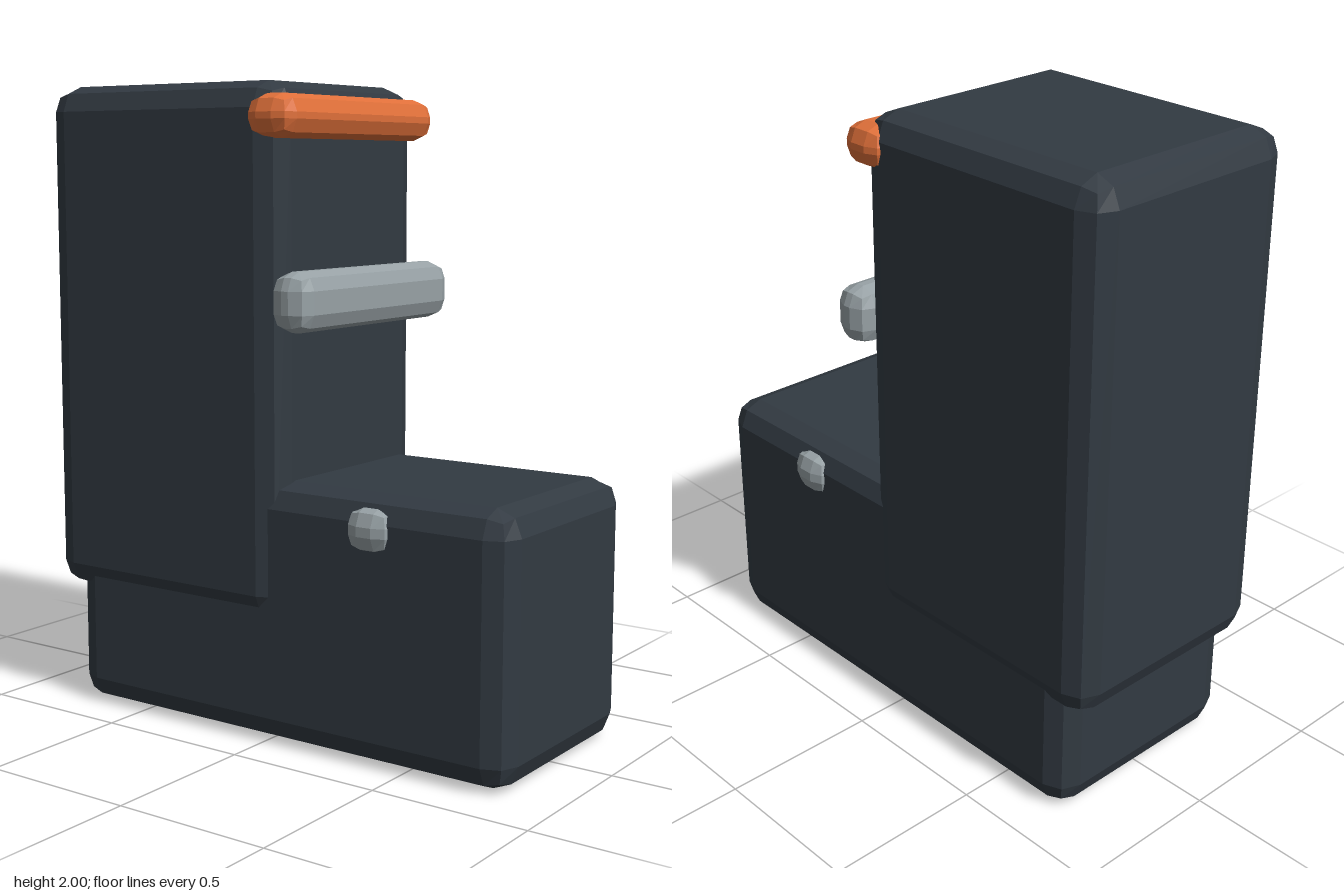
import * as THREE from 'three';
import { RoundedBoxGeometry } from 'three/addons/geometries/RoundedBoxGeometry.js';

const material = (color) => new THREE.MeshStandardMaterial({ color, flatShading: true });

export function createModel() {
  const boot = new THREE.Group();
  boot.name = 'boot';
  const dark = material(0x323a42);
  const orange = material(0xe0703a);
  const metal = material(0x98a2a6);

  // Low-poly bevelled block given by its half width and its y and z ranges
  const block = (name, mat, halfX, [y0, y1], [z0, z1], bevel) => {
    const geometry = new RoundedBoxGeometry(halfX * 2, y1 - y0, z1 - z0, 1, bevel);
    const mesh = new THREE.Mesh(geometry, mat);
    mesh.name = name;
    mesh.position.set(0, (y0 + y1) / 2, (z0 + z1) / 2);
    boot.add(mesh);
  };

  // Foot and upright shaft
  block('foot', dark, 0.365, [0, 0.812], [-0.77, 0.85], 0.08);
  block('shaft', dark, 0.38, [0.38, 2], [-0.85, 0.07], 0.08);

  // Trim at the top and strap across the shin
  block('cuffTrim', orange, 0.405, [1.83, 1.96], [-0.035, 0.13], 0.055);
  block('shinStrap', metal, 0.405, [1.265, 1.445], [0.055, 0.19], 0.055);

  // Pin through the foot, its ends showing as side studs
  block('anklePin', metal, 0.39, [0.64, 0.78], [0.31, 0.47], 0.055);

  return boot;
}
